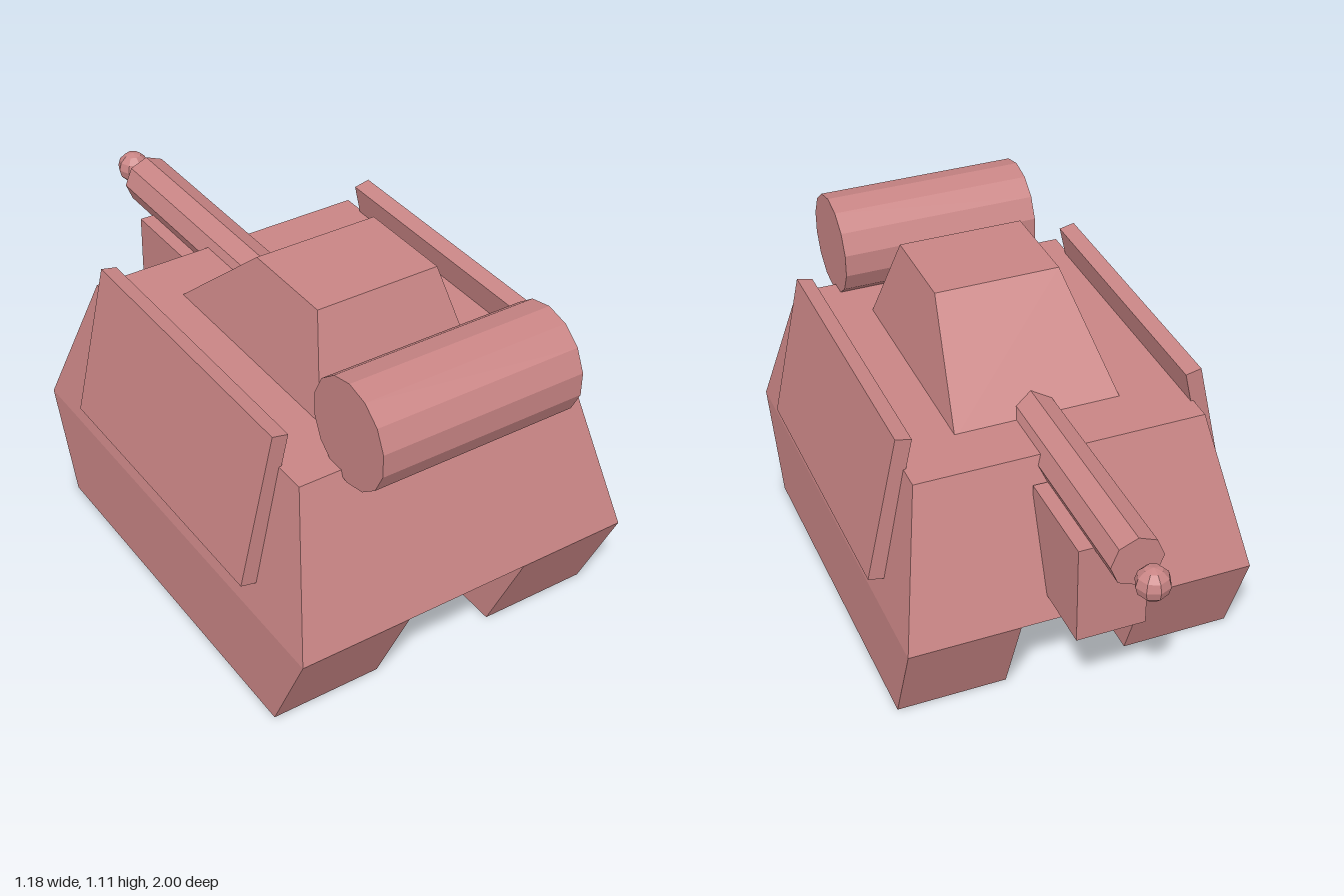
import * as THREE from 'three';

const material = new THREE.MeshStandardMaterial({ color: 0xc98585, flatShading: true });

// Six-sided block between two level rectangles, each given as [y, x0, x1, z0, z1]
function block(bottom, top) {
  const geometry = new THREE.BoxGeometry(1, 1, 1);
  const p = geometry.attributes.position;
  for (let i = 0; i < p.count; i++) {
    const [y, x0, x1, z0, z1] = p.getY(i) < 0 ? bottom : top;
    p.setXYZ(i, p.getX(i) < 0 ? x0 : x1, y, p.getZ(i) < 0 ? z0 : z1);
  }
  geometry.computeVertexNormals();
  return geometry;
}

export function createModel() {
  const model = new THREE.Group();
  model.name = 'tank';

  const add = (name, geometry, x = 0, y = 0, z = 0) => {
    const mesh = new THREE.Mesh(geometry, material);
    mesh.name = name;
    mesh.position.set(x, y, z);
    model.add(mesh);
    return mesh;
  };

  // Upper hull and turret
  add('hull', block([0.32, -0.56, 0.56, -0.51, 0.98], [0.8, -0.465, 0.465, -0.33, 0.81]));
  add('turret', block([0.79, -0.27, 0.27, -0.155, 0.615], [1.09, -0.203, 0.203, 0.18, 0.495]));

  // Track housings and leaning side plates, mirrored
  for (const side of [1, -1]) {
    const name = side > 0 ? 'left' : 'right';
    const [x0, x1] = side > 0 ? [0.203, 0.56] : [-0.56, -0.203];
    add(name + 'Track', block([0, x0, x1, -0.38, 0.835], [0.32, x0, x1, -0.51, 0.98]));
    const plate = add(name + 'Plate', new THREE.BoxGeometry(0.052, 0.495, 0.96), side * 0.513, 0.663, 0.23);
    plate.rotation.z = side * 0.213;
  }

  // Gun barrel with a round shell at its muzzle
  const barrel = add('barrel', new THREE.CylinderGeometry(0.082, 0.082, 0.95, 8), 0, 0.77, -0.375);
  barrel.rotation.x = Math.PI / 2;
  add('shell', new THREE.SphereGeometry(0.053, 8, 6), 0, 0.77, -0.946);

  // Box under the barrel
  add('gunMount', new THREE.BoxGeometry(0.22, 0.33, 0.33), 0, 0.56, -0.535);

  // Drum lying across the other end
  const drum = add('drum', new THREE.CylinderGeometry(0.165, 0.165, 0.66, 14, 1, false, Math.PI / 2), 0, 0.94, 0.837);
  drum.rotation.z = Math.PI / 2;

  return model;
}
